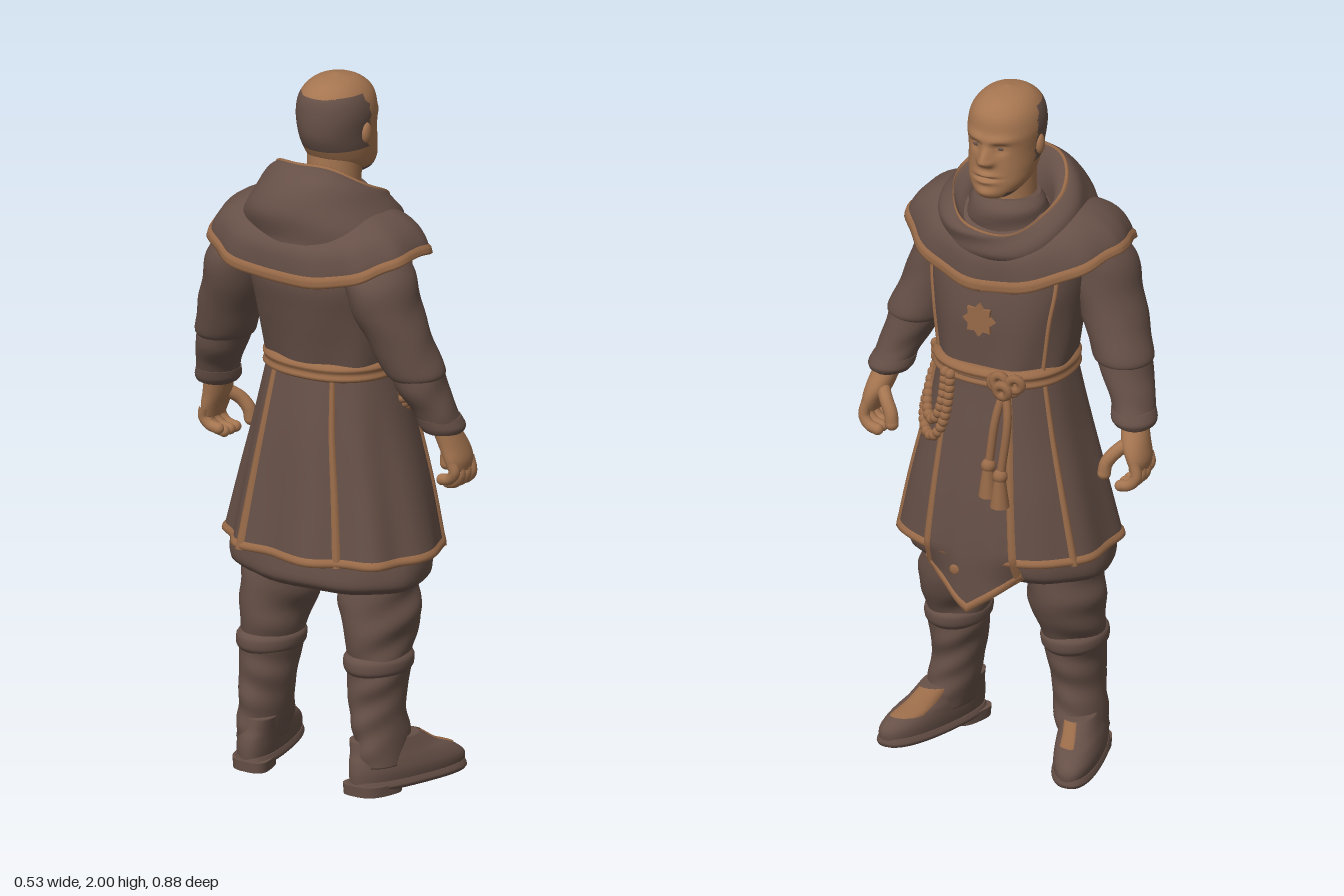
import * as THREE from 'three';

const mat = (name, color, side = THREE.FrontSide) => {
  const m = new THREE.MeshStandardMaterial({ color, side });
  m.name = name;
  return m;
};
const { sin, cos, abs, sign, PI, exp, max, min } = Math;
const gauss = (d, w) => exp(-(d * d) / (w * w));
const V = (x, y, z) => new THREE.Vector3(x, y, z);

// Grid surface: u runs round the figure, v runs upwards
function grid(fn, rows, cols, closed = true, cap = false) {
  const pos = [], idx = [], n = closed ? cols : cols + 1;
  const ring = (v, shrink) => {
    const pts = [], mid = V(0, 0, 0);
    for (let j = 0; j < n; j++) { pts.push(fn(j / cols, v)); mid.addScaledVector(pts[j], 1 / n); }
    pts.forEach(p => { if (shrink) p.lerp(mid, 0.99); pos.push(p.x, p.y, p.z); });
  };
  if (cap) ring(0, true);
  for (let i = 0; i <= rows; i++) ring(i / rows, false);
  if (cap) ring(1, true);
  const total = rows + (cap ? 2 : 0);
  for (let i = 0; i < total; i++) for (let j = 0; j < cols; j++) {
    const k = (j + 1) % n, a = i * n + j, b = a + n, c = i * n + k, d = c + n;
    idx.push(a, b, c, c, b, d);
  }
  const g = new THREE.BufferGeometry();
  g.setAttribute('position', new THREE.Float32BufferAttribute(pos, 3));
  g.setIndex(idx);
  g.computeVertexNormals();
  return g;
}

// Smooth interpolation through evenly weighted rows
function spline(rows) {
  const k = rows.length - 1;
  return v => {
    const i = min(k - 1, Math.floor(v * k)), t = v * k - i;
    const [p, a, b, q] = [rows[max(0, i - 1)], rows[i], rows[i + 1], rows[min(k, i + 2)]];
    return a.map((_, c) => a[c] + 0.5 * t * (b[c] - p[c] + t * (2 * p[c] - 5 * a[c] + 4 * b[c] - q[c]
      + t * (3 * (a[c] - b[c]) + q[c] - p[c]))));
  };
}

// Rounded cross-sections [y, cx, cz, rx, rz]; wave gives cloth folds
function shell(rows, power = 2, wave = () => 0) {
  const f = spline(rows);
  return (u, v, off = 0) => {
    const th = u * 2 * PI, [y, cx, cz, rx, rz] = f(v), w = wave(th, y) + off, e = 2 / power;
    return V(cx + (rx + w) * sign(cos(th)) * abs(cos(th)) ** e, y, cz + (rz + w) * sign(sin(th)) * abs(sin(th)) ** e);
  };
}

export function createModel() {
  const model = new THREE.Group();
  model.name = 'robedFigure';
  const cloth = mat('brownCloth', 0x665047, THREE.DoubleSide);
  const skin = mat('skin', 0xa57550);
  const trim = mat('tanTrim', 0x986a48, THREE.DoubleSide);
  const add = (name, geo, m, parent = model) => {
    const mesh = new THREE.Mesh(geo, m);
    mesh.name = name;
    parent.add(mesh);
    return mesh;
  };
  const loft = (name, fn, m, parent, rows = 24, cols = 40) => add(name, grid(fn, rows, cols, true, true), m, parent);
  // Thin raised strip whose long edges sink into the shell below
  const strip = (name, fn, u0, u1, v0, v1, rows, cols, off = 0.006, base = 0, parent = model) => add(name, grid((u, v) => {
    const t = rows > cols ? u : v, lift = t === 0 || t === 1 ? base : off;
    return fn(u0 + u * (u1 - u0), v0 + v * (v1 - v0), lift);
  }, rows, cols, false), trim, parent);
  const ball = (name, x, y, z, r, m, parent, sx = 1, sy = 1, sz = 1) => {
    const b = add(name, new THREE.SphereGeometry(r, 14, 10), m, parent);
    b.position.set(x, y, z);
    b.scale.set(sx, sy, sz);
  };
  const tube = (name, pts, r, m, parent) =>
    add(name, new THREE.TubeGeometry(new THREE.CatmullRomCurve3(pts), 20, r, 10), m, parent);

  // Tunic body, overskirt and underskirt
  const torso = shell([[1.16, 0.01, 0, 0.16, 0.185], [1.26, 0, 0, 0.172, 0.198], [1.36, -0.012, 0, 0.185, 0.21],
    [1.46, -0.028, 0, 0.188, 0.225], [1.56, -0.03, 0, 0.16, 0.22], [1.62, -0.03, 0, 0.1, 0.15]], 2.3,
  (th, y) => 0.004 * sin(7 * th + y * 9) * max(0, 1.45 - y) * 4);
  loft('tunicBody', torso, cloth, model, 24, 64);
  const skirtRows = [[0.66, 0, 0, 0.236, 0.31], [0.84, 0.005, 0, 0.218, 0.268], [1.02, 0.005, 0, 0.195, 0.222], [1.2, 0.01, 0, 0.168, 0.185]];
  const skirt = shell(skirtRows, 2.3, (th, y) => 0.018 * sin(9 * th) * (1.2 - y) * (1 - cos(th)) * 0.7);
  add('overskirt', grid(skirt, 24, 96), cloth);
  loft('underskirt', shell([[0.575, -0.02, 0, 0.165, 0.27], [0.6, -0.02, 0, 0.188, 0.297], [0.66, -0.015, 0, 0.19, 0.298], [0.75, -0.01, 0, 0.19, 0.27]],
    2.2, th => 0.004 * sin(8 * th)), cloth);
  strip('skirtHem', skirt, 0, 1, 0, 0.065, 4, 96);
  for (const u of [0.165, 0.425, 0.575, 0.835]) strip('skirtSeam', skirt, u - 0.007, u + 0.007, 0, 0.97, 24, 4);
  for (const u of [0.155, 0.845]) strip('chestSeam', torso, u - 0.006, u + 0.006, 0.05, 0.72, 16, 4);
  loft('belt', shell([[1.165, 0.01, 0, 0.17, 0.188], [1.175, 0.01, 0, 0.184, 0.2], [1.19, 0.01, 0, 0.178, 0.195],
    [1.205, 0.01, 0, 0.184, 0.2], [1.22, 0.01, 0, 0.165, 0.186]], 2.3), trim, model, 12, 64);

  // Pointed front panel with border; its free corners curl back below the skirt
  const skirtAt = spline(skirtRows);
  const frontX = (y, z) => {
    const [, cx, , rx, rz] = skirtAt(min(1, max(0, (y - 0.66) / 0.54)));
    return cx + rx * max(0, 1 - abs(z / rz) ** 2.3) ** (1 / 2.3);
  };
  const panel = (u, v, off = 0.01) => {
    const s = u * 2 - 1, bottom = 0.505 + 0.11 * abs(s);
    const y = bottom + v * (1.19 - bottom), z = s * (0.148 - 0.05 * v);
    const curl = 0.04 * s * s * min(1, max(0, (0.68 - y) / 0.08));
    return V(frontX(y, z) + off - curl + 0.003 * sin(s * 9) * (1 - v), y, z);
  };
  add('frontPanel', grid(panel, 40, 24, false), cloth);
  for (const [a, b] of [[0, 0.075], [0.925, 1]]) strip('panelEdge', panel, a, b, 0, 1, 40, 4, 0.015, 0.01);
  strip('panelPoint', panel, 0, 1, 0, 0.04, 4, 24, 0.015, 0.01);
  ball('panelStud', 0.252, 0.63, 0.035, 0.015, trim, model, 0.3, 1, 1);

  // Star badge on the chest
  const star = new THREE.Shape();
  for (let i = 0; i < 16; i++) {
    const r = i % 2 ? 0.036 : 0.05, a = i * PI / 8;
    star[i ? 'lineTo' : 'moveTo'](r * cos(a), r * sin(a));
  }
  const badge = add('chestBadge', new THREE.ExtrudeGeometry(star, { depth: 0.009, bevelEnabled: false }), trim);
  badge.rotation.y = PI / 2;
  badge.position.set(0.169, 1.36, 0);

  // Shoulder cape: hem dips at front and back, square across the shoulder blades
  const capeRows = spline([[1.545, 1, -0.047, 0.21, 0.322], [1.585, 0.85, -0.047, 0.21, 0.306],
    [1.622, 0.75, -0.047, 0.202, 0.273], [1.65, 0.7, -0.045, 0.17, 0.22], [1.665, 0.6, -0.04, 0.11, 0.14]]);
  const cape = (u, v, off = 0) => {
    const th = u * 2 * PI, c = cos(th), s = sin(th), [y, w, cx, rx, rz] = capeRows(v), e = c > 0 ? 1.03 : 0.7;
    const f = off + 0.005 * (1 - v) * sin(11 * th);
    return V(cx + (rx + f) * sign(c) * abs(c) ** e, y - w * (c > 0 ? 0.105 : 0.08) * c * c, (rz + f) * sign(s) * abs(s) ** e);
  };
  add('shoulderCape', grid(cape, 20, 96), cloth);
  strip('capeHem', cape, 0, 1, 0, 0.17, 5, 96);

  // Lowered hood, tilted down towards the front
  const hoodRows = spline([[1.55, 0.03, -0.05, 0.19, 0.235], [1.605, 0.05, -0.045, 0.205, 0.22], [1.665, 0.075, -0.02, 0.182, 0.196],
    [1.692, 0.083, 0, 0.146, 0.16], [1.67, 0.075, 0.005, 0.122, 0.132], [1.62, 0.04, 0.005, 0.1, 0.11]]);
  const hood = (u, v, off = 0) => {
    const th = u * 2 * PI, [y, tilt, cx, rx, rz] = hoodRows(v), f = 0.005 * sin(3 * th + v * 14);
    return V(cx + (rx + f) * cos(th), y + off - tilt * cos(th) + 0.004 * sin(5 * th + 1), (rz + f) * sin(th));
  };
  add('hood', grid(hood, 30, 96), cloth);
  strip('hoodEdge', hood, 0, 1, 0.59, 0.64, 4, 96, 0.005);
  loft('collar', shell([[1.56, 0, 0, 0.1, 0.12], [1.62, 0, 0, 0.1, 0.118], [1.66, 0.003, 0, 0.097, 0.108], [1.685, 0, 0, 0.08, 0.085]],
    2, (th, y) => 0.003 * sin(70 * y + 2 * th)), cloth);
  loft('neck', shell([[1.6, -0.01, 0, 0.08, 0.08], [1.68, -0.005, 0, 0.076, 0.074], [1.78, 0, 0, 0.078, 0.076]]), skin);

  // Head with sculpted brow, eyes, nose, lips; cropped hair at sides and back
  const skull = shell([[1.705, 0.075, 0, 0.045, 0.03], [1.718, 0.068, 0, 0.07, 0.056], [1.75, 0.044, 0, 0.098, 0.082], [1.79, 0.026, 0, 0.112, 0.092],
    [1.84, 0.012, 0, 0.122, 0.097], [1.9, 0.008, 0, 0.122, 0.103], [1.95, 0.007, 0, 0.11, 0.091], [1.985, 0.005, 0, 0.068, 0.058], [2, 0.005, 0, 0.005, 0.005]], 2.1);
  const headGeo = grid((u, v) => {
    const p = skull(u, v), { y, z } = p;
    if (p.x > 0.05) {
      const eye = gauss(abs(z) - 0.038, 0.018);
      p.x += 0.01 * gauss(y - 1.885, 0.013) * gauss(abs(z) - 0.035, 0.04) - 0.013 * eye * gauss(y - 1.862, 0.014)
        + 0.006 * eye * gauss(y - 1.86, 0.006) + 0.029 * gauss(z, 0.017) * gauss(y - 1.825, y > 1.825 ? 0.035 : 0.014)
        + 0.01 * gauss(abs(z) - 0.016, 0.011) * gauss(y - 1.82, 0.011)
        + 0.008 * gauss(z, 0.03) * (gauss(y - 1.782, 0.008) + gauss(y - 1.764, 0.008) - 1.3 * gauss(y - 1.773, 0.004))
        + 0.008 * gauss(z, 0.03) * gauss(y - 1.73, 0.014);
    }
    return p;
  }, 90, 96, true, true);
  const ix = headGeo.index.array, P = headGeo.attributes.position, parts = [[], []];
  for (let i = 0; i < ix.length; i += 3) {
    const t = [ix[i], ix[i + 1], ix[i + 2]];
    const x = (P.getX(t[0]) + P.getX(t[1]) + P.getX(t[2])) / 3, y = (P.getY(t[0]) + P.getY(t[1]) + P.getY(t[2])) / 3;
    const hair = x < 0.025 - 0.5 * max(0, y - 1.91) + 0.004 * sin(y * 200) && y > 1.8 && y < 1.956 + 0.1 * min(0, x + 0.06);
    parts[hair || (y < 1.73 && x < 0.115) ? 1 : 0].push(...t);
  }
  headGeo.setIndex([...parts[0], ...parts[1]]);
  headGeo.addGroup(0, parts[0].length, 0);
  headGeo.addGroup(parts[0].length, parts[1].length, 1);
  add('head', headGeo, [skin, cloth]);

  // Paired parts
  for (const s of [1, -1]) {
    const side = new THREE.Group();
    side.name = s > 0 ? 'rightLimbs' : 'leftLimbs';
    model.add(side);
    const rows = list => list.map(([y, x, z, rx, rz]) => [y, x, z * s, rx, rz]);
    const limb = (name, list, wave, m = cloth, power = 2) => loft(name, shell(rows(list), power, wave), m, side, 40, 32);
    const creases = (amp, k) => (th, y) => amp * (sin(k * y + 2 * s * th) * (0.5 + 0.5 * sin(th * 2 + 9 * y)) + 0.5 * sin(0.4 * k * y - 3 * th));

    ball('ear', 0.008, 1.845, 0.1 * s, 0.026, skin, side, 0.7, 1.15, 0.45);
    ball('eye', 0.12, 1.861, 0.037 * s, 0.008, cloth, side, 0.5, 0.6, 1.3);

    // Arms
    limb('upperSleeve', [[1.21, -0.07, 0.322, 0.075, 0.07], [1.23, -0.07, 0.316, 0.088, 0.083], [1.31, -0.088, 0.285, 0.095, 0.087],
      [1.4, -0.105, 0.25, 0.107, 0.092], [1.49, -0.108, 0.225, 0.112, 0.092], [1.56, -0.08, 0.19, 0.08, 0.07]], creases(0.002, 50));
    limb('forearmSleeve', [[1.05, -0.018, 0.38, 0.052, 0.048], [1.07, -0.022, 0.375, 0.062, 0.058], [1.12, -0.04, 0.36, 0.066, 0.06],
      [1.18, -0.06, 0.335, 0.078, 0.07], [1.26, -0.07, 0.31, 0.08, 0.075]], creases(0.002, 60));
    limb('cuff', [[1.055, -0.02, 0.379, 0.06, 0.056], [1.07, -0.022, 0.375, 0.067, 0.063], [1.095, -0.03, 0.368, 0.066, 0.06]]);

    // Hands with curled fingers
    limb('palm', [[0.94, 0.01, 0.412, 0.046, 0.022], [0.97, 0.01, 0.408, 0.054, 0.03], [1.01, 0.004, 0.395, 0.052, 0.036], [1.07, -0.018, 0.378, 0.04, 0.038]], undefined, skin);
    for (let i = 0; i < 4; i++) {
      const x = -0.032 + i * 0.027, d = i === 0 ? 0.015 : 0;
      tube('finger', [V(x, 0.97, 0.412 * s), V(x + 0.004, 0.925 + d, 0.42 * s), V(x + 0.008, 0.902 + d, 0.402 * s), V(x + 0.01, 0.895 + d, 0.375 * s)], 0.016, skin, side);
      ball('fingertip', x + 0.01, 0.895 + d, 0.375 * s, 0.016, skin, side);
    }
    tube('thumb', [V(0.015, 1.015, 0.385 * s), V(0.05, 0.985, 0.353 * s), V(0.062, 0.955, 0.333 * s), V(0.065, 0.925, 0.328 * s)], 0.019, skin, side);
    ball('thumbTip', 0.065, 0.925, 0.328 * s, 0.019, skin, side);

    // Baggy trousers and boots
    limb('trouserLeg', [[0.36, -0.045, 0.178, 0.095, 0.08], [0.4, -0.04, 0.177, 0.108, 0.083], [0.45, -0.028, 0.174, 0.122, 0.094],
      [0.5, -0.02, 0.168, 0.13, 0.1], [0.56, -0.018, 0.16, 0.13, 0.1], [0.66, -0.01, 0.15, 0.12, 0.1]], creases(0.005, 60));
    limb('bootShaft', [[0.08, -0.05, 0.205, 0.1, 0.06], [0.15, -0.052, 0.195, 0.097, 0.066], [0.22, -0.056, 0.186, 0.093, 0.068],
      [0.3, -0.05, 0.181, 0.099, 0.076], [0.36, -0.045, 0.18, 0.105, 0.083]], creases(0.004, 70));
    limb('bootCuff', [[0.335, -0.046, 0.18, 0.1, 0.078], [0.35, -0.046, 0.18, 0.11, 0.088], [0.375, -0.045, 0.179, 0.111, 0.089], [0.39, -0.045, 0.178, 0.1, 0.078]]);
    const toeOut = fn => (u, v, off) => { const p = fn(u, v, off); p.z += s * 0.26 * (p.x - 0.015); return p; };
    const foot = (name, list, power) => {
      const fn = toeOut(shell(rows(list), power));
      loft(name, fn, cloth, side, 16, 40);
      return fn;
    };
    const upper = foot('bootFoot', [[0.02, 0.015, 0.23, 0.18, 0.06], [0.06, 0.015, 0.23, 0.182, 0.066], [0.092, -0.002, 0.226, 0.16, 0.063],
      [0.115, -0.025, 0.221, 0.128, 0.059], [0.15, -0.047, 0.214, 0.1, 0.055]], 2.3);
    foot('bootSole', [[0.015, 0.016, 0.23, 0.18, 0.064], [0.025, 0.016, 0.23, 0.184, 0.07], [0.04, 0.016, 0.23, 0.18, 0.064]], 2.5);
    foot('bootHeel', [[0, -0.1, 0.228, 0.066, 0.058], [0.03, -0.1, 0.228, 0.068, 0.06]], 3);
    const [u0, u1, v0] = s > 0 ? [-0.13, 0.06, 0.5] : [-0.03, 0.07, 0.62];
    strip('bootTongue', upper, u0, u1, v0, 0.97, 12, 8, 0.006, 0.001, side);
  }

  // Prayer beads looped from the belt
  for (const [drop, half, count] of [[0.195, 0.064, 26], [0.15, 0.044, 19]]) {
    const path = new THREE.CatmullRomCurve3(Array.from({ length: 25 }, (_, i) => {
      const a = PI * i / 24, z = 0.148 - half * cos(a), y = 1.18 - drop * sin(a) ** 0.7;
      return V(frontX(y, z) + 0.016, y, z);
    }));
    for (const p of path.getSpacedPoints(count)) ball('bead', p.x, p.y, p.z, 0.0155, trim);
  }

  // Knotted cord with two tassels
  for (let i = 0; i < 5; i++) {
    const knot = add('beltKnot', new THREE.TorusGeometry(0.018, 0.013, 8, 16), trim);
    knot.position.set(0.195 + 0.013 * (i % 3), 1.195 + 0.012 * sin(i * 2), -0.065 - 0.016 * i);
    knot.rotation.set(i * 0.7, PI / 2 + 0.5 * sin(i * 3), 0);
  }
  for (const [z, end] of [[-0.062, 0.96], [-0.098, 0.935]]) {
    tube('cord', [V(0.2, 1.19, -0.095), V(0.222, 1.1, z - 0.015), V(0.234, end, z)], 0.012, trim);
    ball('tasselKnot', 0.236, end, z, 0.021, trim);
    const tassel = add('tassel', new THREE.CylinderGeometry(0.015, 0.027, 0.09, 12), trim);
    tassel.position.set(0.238, end - 0.045, z);
  }
  return model;
}
